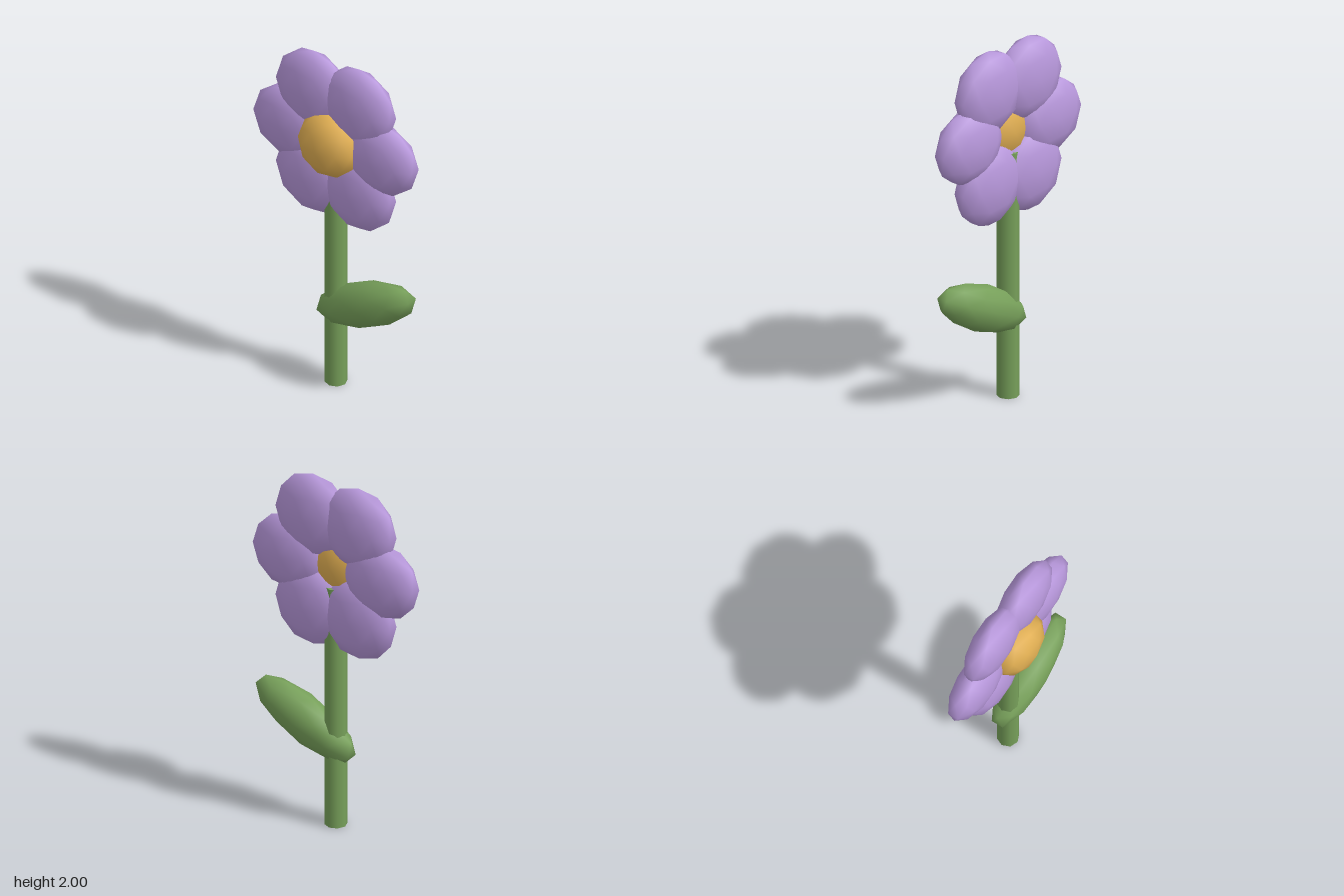
import * as THREE from 'three';

const Z = -0.036; // depth of the stem and petal plane

export function createModel() {
  const flower = new THREE.Group();
  flower.name = 'flower';

  const material = (name, color) => {
    const m = new THREE.MeshStandardMaterial({ color });
    m.name = name;
    return m;
  };
  const purple = material('petal purple', 0xb898dc);
  const yellow = material('centre yellow', 0xe0ae52);
  const green = material('leaf green', 0x77a05a);

  // Smooth low-poly ball, turned so that one corner points straight up
  const ball = new THREE.IcosahedronGeometry(1, 1);
  ball.rotateZ(-Math.atan(2 / (1 + Math.sqrt(5))));

  const addBall = (name, mat, position, radii, tilt = 0) => {
    const mesh = new THREE.Mesh(ball, mat);
    mesh.name = name;
    mesh.position.set(...position);
    mesh.scale.set(...radii);
    mesh.rotation.z = tilt;
    flower.add(mesh);
  };

  // Six petals in a ring, the two side ones slightly shorter
  const headY = 1.505;
  for (let i = 0; i < 6; i++) {
    const a = (i * Math.PI) / 3;
    const height = i % 3 === 0 ? 0.215 : 0.236;
    addBall(`petal${i + 1}`, purple,
      [0.3 * Math.cos(a), headY + 0.3 * Math.sin(a), Z], [0.237, height, 0.099]);
  }

  // Flower centre, bulging forward
  addBall('flowerCentre', yellow, [0, headY, 0.025], [0.187, 0.187, 0.12]);

  // Stem
  const stemHeight = 1.39;
  const stem = new THREE.Mesh(new THREE.CylinderGeometry(0.06, 0.06, stemHeight, 8), green);
  stem.name = 'stem';
  stem.position.set(0, stemHeight / 2, Z);
  flower.add(stem);

  // Single leaf, slanting up to the flower's left
  addBall('leaf', green, [0.2, 0.555, Z], [0.35, 0.13, 0.11], 0.42);

  return flower;
}
